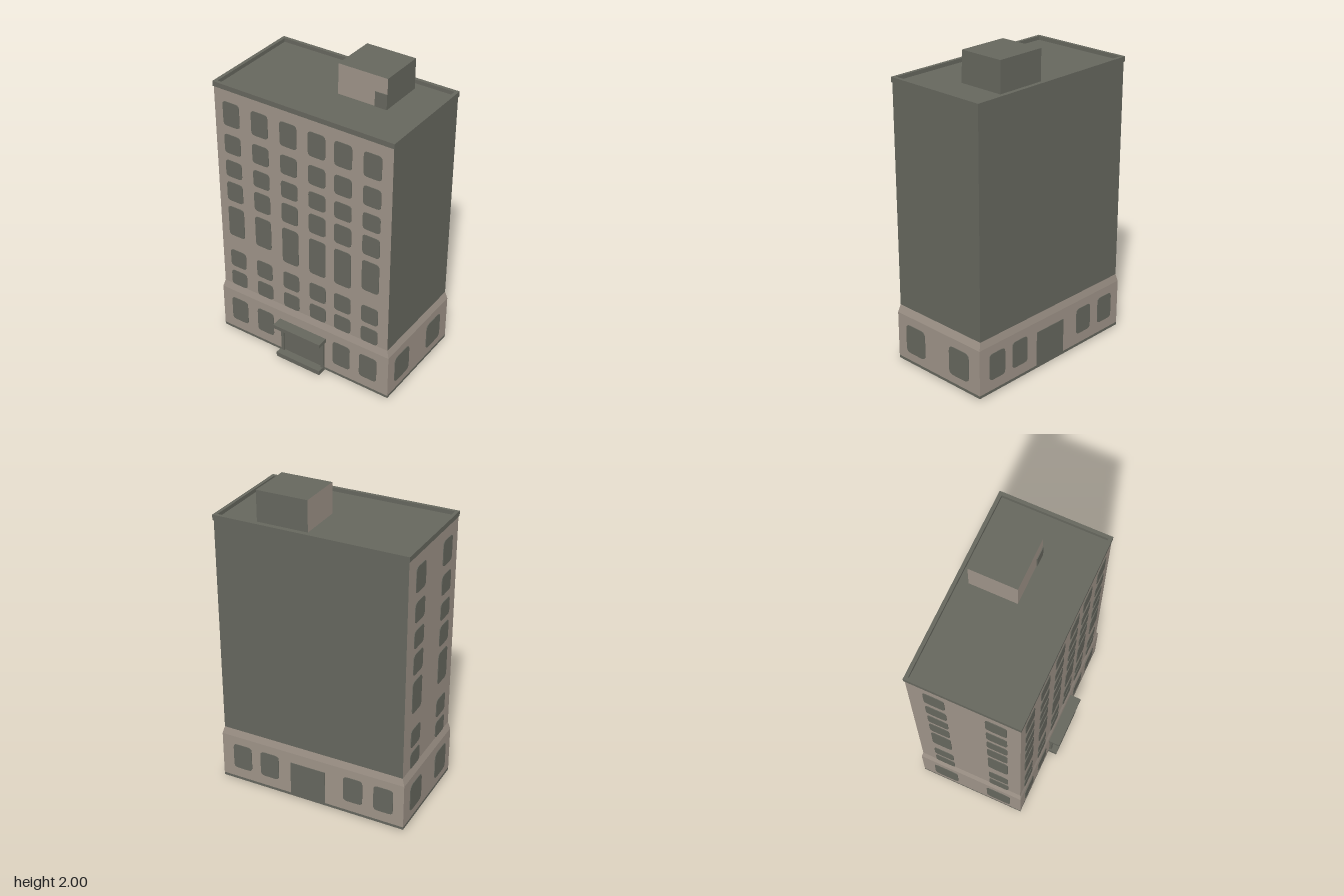
import * as THREE from 'three';

export function createModel() {
  const model = new THREE.Group();
  const mat = (name, color) => Object.assign(new THREE.MeshStandardMaterial({ color }), { name });
  const stone = mat('beige stone', 0x9d9287);
  const dark = mat('dark grey', 0x65665d);

  const add = (name, geo, material, parent = model) => {
    const mesh = new THREE.Mesh(geo, material);
    mesh.name = name;
    parent.add(mesh);
    return mesh;
  };
  // Box given by its limits on each axis
  const block = (name, [x0, x1], [y0, y1], [z0, z1], material) => {
    const geo = new THREE.BoxGeometry(x1 - x0, y1 - y0, z1 - z0);
    geo.translate((x0 + x1) / 2, (y0 + y1) / 2, (z0 + z1) / 2);
    return add(name, geo, material);
  };

  // Tower: stone on the front and right-hand wall, plain dark elsewhere
  const X = 0.615, ZF = 0.305, ZB = -0.382;
  block('tower', [-X, X], [0.38, 1.805], [ZB, ZF], [dark, stone, dark, dark, stone, dark]);

  // Slightly wider ground floor with a sloping shoulder
  const BX = 0.63, BF = 0.314, BB = -0.39;
  block('plinth', [-BX, BX], [0.012, 0.03], [BB, BF], dark);
  block('groundFloor', [-BX, BX], [0.03, 0.33], [BB, BF], stone);
  const shoulder = block('shoulder', [-BX, BX], [0.33, 0.38], [BB, BF], stone);
  const p = shoulder.geometry.attributes.position;
  for (let i = 0; i < p.count; i++) {
    if (p.getY(i) > 0.35) {
      p.setX(i, Math.sign(p.getX(i)) * X);
      p.setZ(i, p.getZ(i) > 0 ? ZF : ZB);
    }
  }
  shoulder.geometry.computeVertexNormals();

  // Parapet ring around the roof
  const rect = (T, x0, x1, y0, y1) => new T([[x0, y0], [x1, y0], [x1, y1], [x0, y1]].map(c => new THREE.Vector2(...c)));
  const ring = rect(THREE.Shape, -0.62, 0.62, -0.31, 0.388);
  ring.holes.push(rect(THREE.Path, -0.598, 0.598, -0.288, 0.366));
  const parapet = new THREE.ExtrudeGeometry(ring, { depth: 0.032, bevelEnabled: false });
  parapet.rotateX(-Math.PI / 2).translate(0, 1.797, 0);
  add('parapet', parapet, dark);

  // Roof house with a stone front and right wall
  block('roofHouse', [0.04, 0.37], [1.8, 2], [-0.31, -0.012], [dark, stone, dark, dark, stone, dark]);
  block('roofHouseHatch', [0.29, 0.37], [1.8, 1.9], [-0.012, -0.007], dark);

  // Thin plates with rounded corners for the openings
  const plate = (w, h) => {
    const r = Math.min(w, h) * 0.2, a = w / 2, b = h / 2;
    const s = new THREE.Shape();
    s.moveTo(-a + r, -b).lineTo(a - r, -b).quadraticCurveTo(a, -b, a, -b + r);
    s.lineTo(a, b - r).quadraticCurveTo(a, b, a - r, b);
    s.lineTo(-a + r, b).quadraticCurveTo(-a, b, -a, b - r);
    s.lineTo(-a, -b + r).quadraticCurveTo(-a, -b, -a + r, -b);
    return new THREE.ExtrudeGeometry(s, { depth: 0.004, bevelEnabled: false, curveSegments: 3 });
  };
  const opening = (name, w, y0, y1, x, z, turn) => {
    const m = add(name, plate(w, y1 - y0), dark);
    m.position.set(x, (y0 + y1) / 2, z);
    m.rotation.y = turn;
  };

  const columns = [-0.495, -0.29, -0.087, 0.11, 0.29, 0.485];
  const sideColumns = [-0.218, 0.157];
  const rows = [[0.383, 0.493], [0.53, 0.655], [0.77, 0.985], [1.03, 1.165],
    [1.205, 1.32], [1.37, 1.5], [1.56, 1.72]];
  rows.forEach(([y0, y1], r) => {
    columns.forEach((x, c) => {
      const low = r === 2 && c > 1 && c < 5 ? 0.73 : y0;
      opening('frontWindow', 0.118, low, y1, x, ZF, 0);
    });
    sideColumns.forEach(z => opening('sideWindow', 0.13, y0, y1, -X, z, -Math.PI / 2));
  });

  // Ground floor windows on all four sides
  for (const c of [0, 1, 4, 5]) {
    opening('groundFrontWindow', 0.125, 0.1, 0.275, columns[c], BF, 0);
    opening('groundBackWindow', 0.13, 0.1, 0.275, columns[c], BB, Math.PI);
  }
  for (const s of [-1, 1]) {
    for (const z of sideColumns) opening('groundSideWindow', 0.165, 0.085, 0.275, s * BX, z, s * Math.PI / 2);
  }
  block('backDoor', [-0.1, 0.14], [0.03, 0.26], [BB - 0.004, BB], dark);

  // Entrance with jambs, canopy and step
  block('frontDoor', [-0.15, 0.16], [0.03, 0.245], [BF, BF + 0.004], dark);
  for (const x of [-0.15, 0.155]) block('doorJamb', [x - 0.01, x + 0.01], [0.03, 0.245], [BF, 0.33], dark);
  block('canopy', [-0.177, 0.175], [0.24, 0.266], [0.3, 0.388], dark);
  block('step', [-0.17, 0.16], [0, 0.032], [0.3, 0.37], dark);

  return model;
}
